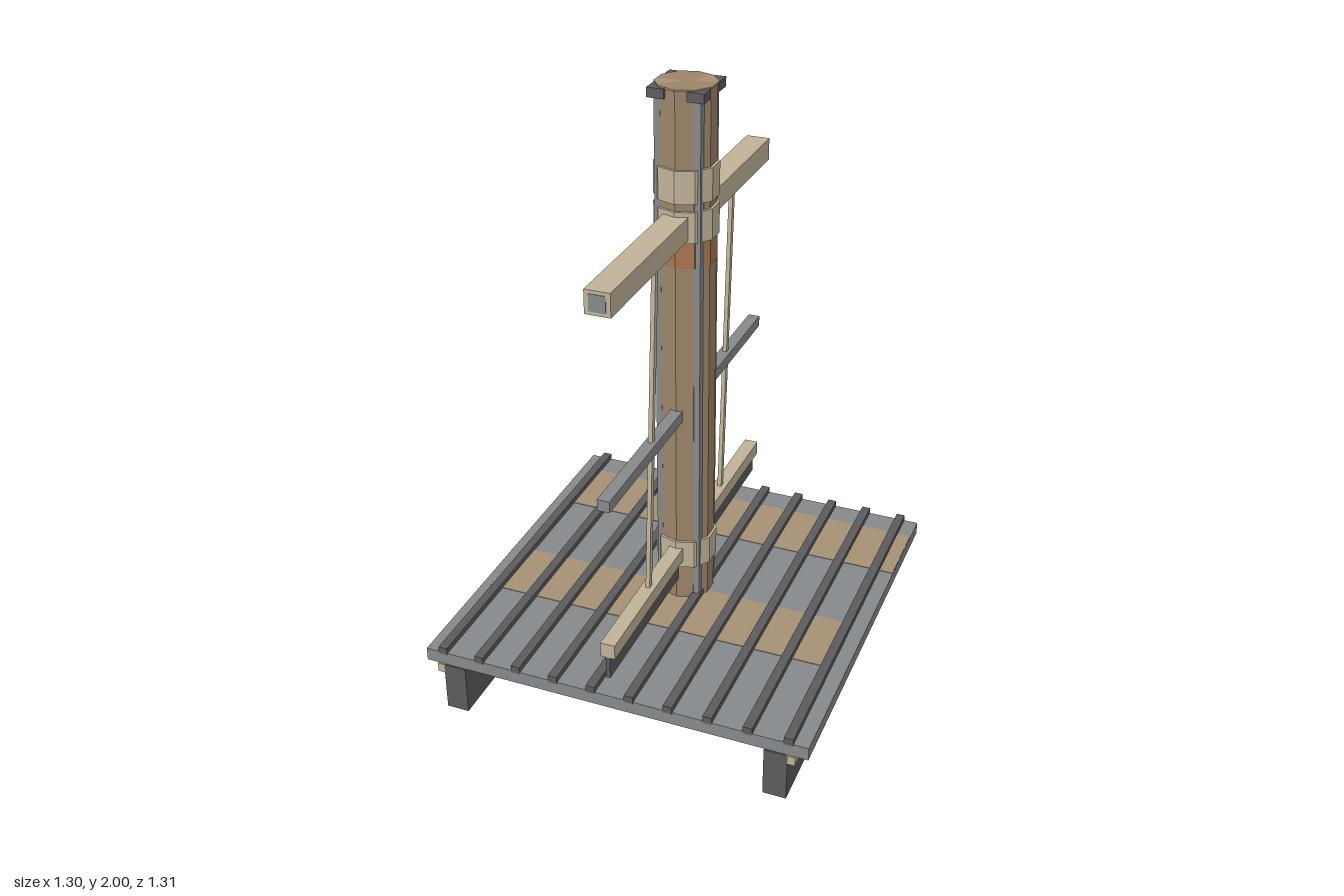
import * as THREE from 'three';

const mat = (color) => new THREE.MeshStandardMaterial({ color, flatShading: true });

export function createModel() {
  const model = new THREE.Group();
  const steel = mat(0x85898c), dark = mat(0x5b5b5d), beige = mat(0xbfb397);
  const rust = mat(0xa59074), bark = mat(0x9c8468), copper = mat(0xa9764f);

  const add = (name, geometry, material, x, y, z) => {
    const mesh = new THREE.Mesh(geometry, material);
    mesh.name = name;
    mesh.position.set(x, y, z);
    model.add(mesh);
    return mesh;
  };
  // Box given by its limits on each axis
  const box = (name, material, x0, x1, y0, y1, z0, z1) =>
    add(name, new THREE.BoxGeometry(x1 - x0, y1 - y0, z1 - z0), material,
      (x0 + x1) / 2, (y0 + y1) / 2, (z0 + z1) / 2);
  // Ten-sided section of the column
  const ring = (name, material, r, y0, y1) =>
    add(name, new THREE.CylinderGeometry(r, r, y1 - y0, 10), material, 0, (y0 + y1) / 2, 0);

  // Base: deck, weathered patches, ribs and skids
  box('deck', steel, -0.65, 0.65, 0.17, 0.215, -0.65, 0.65);
  box('backPatch', rust, -0.62, 0.648, 0.168, 0.217, -0.555, -0.31);
  box('frontPatch', rust, -0.62, 0.575, 0.168, 0.217, 0.02, 0.265);
  for (let i = 0; i < 10; i++) {
    const x = -0.589 + i * 0.1306;
    box('deckRib', dark, x - 0.015, x + 0.015, 0.21, 0.235, -0.652, 0.652);
  }
  for (const s of [-1, 1]) {
    const skid = 0.548 * s, strip = 0.595 * s;
    box('skid', dark, skid - 0.038, skid + 0.038, 0, 0.17, -0.655, 0.655);
    box('skidStrip', beige, strip - 0.015, strip + 0.015, 0.138, 0.17, -0.655, 0.655);
  }

  // Column with corner posts, corner caps and bands
  ring('column', bark, 0.092, 0.2, 2);
  ring('columnTop', rust, 0.096, 1.994, 2);
  for (const sx of [-1, 1]) {
    for (const sz of [-1, 1]) {
      add('cornerPost', new THREE.BoxGeometry(0.036, 1.77, 0.036), steel, 0.056 * sx, 1.085, 0.056 * sz);
      add('cornerCap', new THREE.BoxGeometry(0.055, 0.03, 0.055), dark, 0.0625 * sx, 1.981, 0.0625 * sz);
    }
  }
  ring('copperCollar', copper, 0.095, 1.44, 1.54);
  for (const [y0, y1] of [[0.345, 0.445], [1.525, 1.625], [1.65, 1.755]]) {
    ring('band', beige, 0.101, y0, y1);
  }

  // Crossbars running front to back
  box('upperBeam', beige, -0.04, 0.04, 1.535, 1.61, -0.655, 0.655);
  box('upperBeamCore', steel, -0.026, 0.026, 1.546, 1.599, -0.657, 0.657);
  box('middleBar', steel, -0.02, 0.02, 0.903, 0.941, -0.655, 0.655);
  box('lowerBeam', beige, -0.024, 0.024, 0.37, 0.42, -0.655, 0.655);
  box('lowerFin', dark, -0.007, 0.007, 0.293, 0.37, -0.655, 0.655);

  // Slanted braces between the lower and upper beams
  for (const [z0, z1] of [[0.33, 0.25], [-0.325, -0.405]]) {
    const y0 = 0.41, y1 = 1.545;
    const brace = add('brace', new THREE.BoxGeometry(0.014, Math.hypot(y1 - y0, z1 - z0), 0.02),
      beige, 0, (y0 + y1) / 2, (z0 + z1) / 2);
    brace.rotation.x = Math.atan2(z1 - z0, y1 - y0);
  }

  return model;
}
